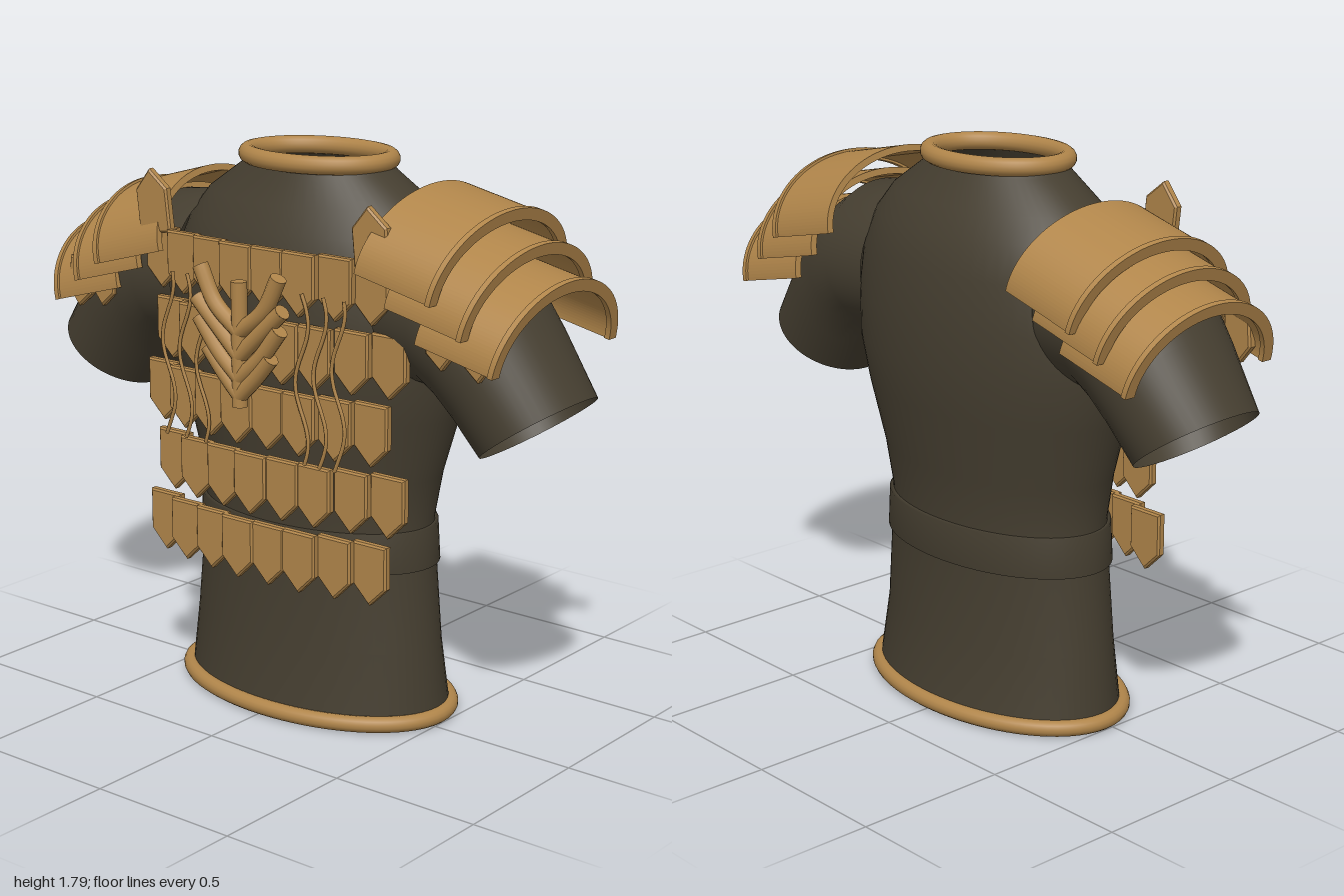
import * as THREE from 'three';

const cloth = new THREE.MeshStandardMaterial({ color: 0x453e30, side: THREE.DoubleSide });
cloth.name = 'dark cloth';
const bronze = new THREE.MeshStandardMaterial({ color: 0xb0854a });
bronze.name = 'bronze';

const ZC = -0.04; // depth of the body axis
const V = (x, y, z) => new THREE.Vector3(x, y, z);

function add(parent, name, geometry, material, x = 0, y = 0, z = 0) {
  const mesh = new THREE.Mesh(geometry, material);
  mesh.name = name;
  mesh.position.set(x, y, z);
  parent.add(mesh);
  return mesh;
}

// Open tube through elliptical rings, each given as centre c and half axes u, v
function loft(rings, n = 64) {
  const pos = [], idx = [];
  rings.forEach(({ c, u, v }, i) => {
    for (let j = 0; j < n; j++) {
      const t = (j / n) * Math.PI * 2;
      const p = c.clone().addScaledVector(u, Math.cos(t)).addScaledVector(v, Math.sin(t));
      pos.push(p.x, p.y, p.z);
      if (i === 0) continue;
      const a = (i - 1) * n + j, b = (i - 1) * n + (j + 1) % n;
      idx.push(a, b, b + n, a, b + n, a + n);
    }
  });
  const g = new THREE.BufferGeometry();
  g.setAttribute('position', new THREE.Float32BufferAttribute(pos, 3));
  g.setIndex(idx);
  g.computeVertexNormals();
  return g;
}

// Level rings from rows of height, half width, half depth, depth offset
const bodyRings = rows => rows.map(([y, rx, rz, z = ZC]) =>
  ({ c: V(0, y, z), u: V(rx, 0, 0), v: V(0, 0, -rz) }));

// Elliptical rolled edge
function ovalRing(rx, rz, tube) {
  class Oval extends THREE.Curve {
    getPoint(t, out = V(0, 0, 0)) {
      const a = t * Math.PI * 2;
      return out.set(rx * Math.cos(a), 0, rz * Math.sin(a));
    }
  }
  return new THREE.TubeGeometry(new Oval(), 80, tube, 14, true);
}

// Five-sided armour scale hanging from its top edge
function scaleGeometry(w, h) {
  const b = 0.006, x = w / 2 - b;
  const s = new THREE.Shape();
  s.moveTo(-x, -b);
  s.lineTo(-x, -h * 0.68);
  s.lineTo(0, -h + b);
  s.lineTo(x, -h * 0.68);
  s.lineTo(x, -b);
  s.closePath();
  const g = new THREE.ExtrudeGeometry(s, {
    depth: 0.018, bevelEnabled: true, bevelSize: b, bevelThickness: b, bevelSegments: 1,
  });
  return g.translate(0, 0, -0.009);
}

// Half-oval shell, crown at the origin, running from x = -length to 0
function archGeometry(rz, ry, thick, length) {
  const s = new THREE.Shape();
  s.absellipse(0, -ry, rz, ry, 0, Math.PI, false, 0);
  s.lineTo(-rz + thick, -ry);
  s.absellipse(0, -ry, rz - thick, ry - thick, Math.PI, 0, true, 0);
  s.closePath();
  const g = new THREE.ExtrudeGeometry(s, { depth: length, bevelEnabled: false, curveSegments: 36 });
  return g.rotateY(Math.PI / 2).translate(-length, 0, 0);
}

function buildShirt(root) {
  add(root, 'torso', loft(bodyRings([
    [0.03, 0.485, 0.295, -0.035], [0.25, 0.462, 0.26, -0.03], [0.5, 0.437, 0.257, -0.032],
    [0.65, 0.425, 0.257, -0.032], [0.8, 0.452, 0.272, -0.035], [1.0, 0.51, 0.302],
    [1.15, 0.548, 0.32], [1.3, 0.55, 0.32], [1.45, 0.525, 0.31], [1.56, 0.475, 0.28],
    [1.64, 0.41, 0.235], [1.73, 0.275, 0.185, -0.035], [1.765, 0.24, 0.17, -0.03],
  ])), cloth);
  add(root, 'waistBand', loft(bodyRings([
    [0.51, 0.436, 0.257, -0.032], [0.511, 0.446, 0.272, -0.032],
    [0.639, 0.436, 0.272, -0.032], [0.64, 0.426, 0.257, -0.032],
  ])), cloth);
  add(root, 'hemRing', ovalRing(0.49, 0.3, 0.026), bronze, 0, 0.028, -0.032);
  add(root, 'collarRing', ovalRing(0.245, 0.182, 0.029), bronze, 0, 1.765, -0.033);

  // Sleeve rings: top x, y, bottom x, y, half depth
  const sleeve = loft([
    [0.38, 1.62, 0.42, 1.12, 0.24], [0.58, 1.6, 0.52, 1.12, 0.265],
    [0.74, 1.5, 0.555, 1.09, 0.255], [0.86, 1.35, 0.61, 1.03, 0.235],
    [1.0, 1.15, 0.69, 0.93, 0.208],
  ].map(([tx, ty, bx, by, rz]) => ({
    c: V((tx + bx) / 2, (ty + by) / 2, -0.02),
    u: V((tx - bx) / 2, (ty - by) / 2, 0),
    v: V(0, 0, rz),
  })), 48);
  for (const side of [1, -1]) {
    add(root, side > 0 ? 'leftSleeve' : 'rightSleeve', sleeve, cloth).scale.x = side;
  }
}

function buildChestScales(root) {
  const geometry = scaleGeometry(0.128, 0.195);
  [1.53, 1.31, 1.095, 0.875, 0.655].forEach((y, row) => {
    const rowGroup = new THREE.Group();
    rowGroup.name = 'scaleRow' + (row + 1);
    const shift = row % 2 ? 0.052 : -0.002;
    for (let i = 0; i < 8; i++) {
      const x = (i - 3.5) * 0.12 + shift;
      // Neighbours overlap by alternating slightly in depth
      add(rowGroup, 'scale', geometry, bronze, x, y, 0.283 - 0.34 * x * x + (i % 2) * 0.006);
    }
    root.add(rowGroup);
  });
}

function buildPauldron(root, side) {
  const left = side > 0;
  const g = new THREE.Group();
  g.name = left ? 'leftPauldron' : 'rightPauldron';
  g.scale.x = side;
  const tops = left ? [1.67, 1.58, 1.485] : [1.61, 1.54, 1.46];
  const size = left ? 1 : 0.925;
  const tilt = left ? -0.21 : -0.27;
  tops.forEach((y, i) => {
    const band = new THREE.Group();
    band.name = 'shoulderBand' + (i + 1);
    band.position.set(0.73 + i * 0.102, y, ZC);
    band.rotation.z = tilt;
    const rz = (0.345 - i * 0.012) * size;
    add(band, 'bandPlate', archGeometry(rz, 0.235, 0.022, 0.285), bronze);
    add(band, 'bandLip', archGeometry(rz + 0.008, 0.243, 0.038, 0.018), bronze, 0, 0.008, 0);
    g.add(band);
  });
  // Upright point at the inner front corner, with hanging tabs under the bands
  const point = add(g, 'shoulderPoint', scaleGeometry(0.13, 0.2), bronze, 0.43, left ? 1.49 : 1.51, 0.24);
  point.rotation.z = Math.PI + (left ? 0.1 : -0.12);
  const tab = scaleGeometry(0.1, 0.16);
  add(g, 'shoulderTab', tab, bronze, 0.66, 1.4, 0.235).rotation.z = 0.1;
  add(g, 'shoulderTab', tab, bronze, 0.78, 1.38, 0.22).rotation.z = 0.1;
  root.add(g);
}

function buildOrnament(root) {
  const g = new THREE.Group();
  g.name = 'ribOrnament';
  const z = 0.35;
  add(g, 'spine', new THREE.CylinderGeometry(0.025, 0.025, 0.39, 14), bronze, 0, 1.235, z);
  // Rib pairs: outer x, outer y, bend x, bend y, inner y
  for (const [ox, oy, bx, by, iy] of [
    [0.155, 1.46, 0.095, 1.35, 1.275], [0.17, 1.36, 0.09, 1.285, 1.2],
    [0.16, 1.3, 0.08, 1.2, 1.13], [0.125, 1.21, 0.06, 1.135, 1.075],
  ]) {
    for (const side of [1, -1]) {
      const curve = new THREE.CatmullRomCurve3([
        V(side * ox, oy, z), V(side * bx, by, z), V(0, iy, z),
      ]);
      add(g, 'rib', new THREE.TubeGeometry(curve, 14, 0.026, 12), bronze);
      const cap = add(g, 'ribEnd', new THREE.CircleGeometry(0.026, 12), bronze, side * ox, oy, z);
      cap.quaternion.setFromUnitVectors(V(0, 0, 1), curve.getTangent(0).negate());
    }
  }
  root.add(g);
}

function buildCords(root) {
  const g = new THREE.Group();
  g.name = 'cords';
  for (const side of [1, -1]) {
    [0.2, 0.27, 0.34].forEach((x, i) => {
      const points = [];
      for (let k = 0; k <= 12; k++) {
        const t = k / 12;
        points.push(V(side * x + 0.025 * Math.sin(t * 9 + i * 0.5), 1.41 - 0.53 * t, 0.297));
      }
      add(g, 'cord', new THREE.TubeGeometry(new THREE.CatmullRomCurve3(points), 48, 0.006, 6), bronze);
    });
  }
  root.add(g);
}

export function createModel() {
  const root = new THREE.Group();
  root.name = 'scaleArmour';
  buildShirt(root);
  buildChestScales(root);
  buildPauldron(root, 1);
  buildPauldron(root, -1);
  buildOrnament(root);
  buildCords(root);
  return root;
}
